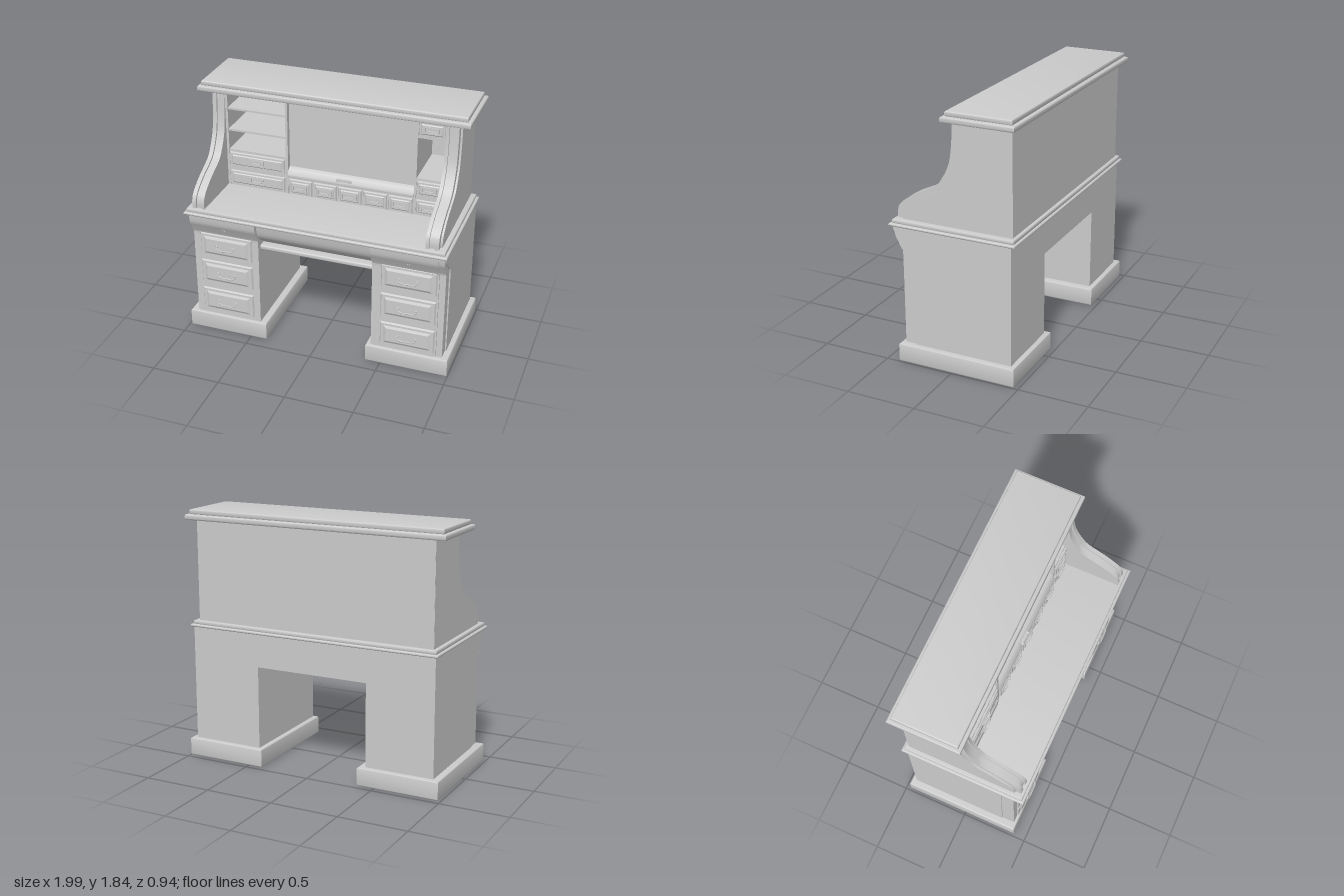
import * as THREE from 'three';
import { toCreasedNormals } from 'three/addons/utils/BufferGeometryUtils.js';

const mat = new THREE.MeshStandardMaterial({ color: 0xcccccc });

export function createModel() {
  const desk = new THREE.Group();
  desk.name = 'rolltopDesk';

  const add = (name, geo, parent = desk) => {
    const m = new THREE.Mesh(geo, mat);
    m.name = name;
    parent.add(m);
    return m;
  };

  // Box given by its limits
  const box = (name, x0, x1, y0, y1, z0, z1, parent) => {
    const m = add(name, new THREE.BoxGeometry(x1 - x0, y1 - y0, z1 - z0), parent);
    m.position.set((x0 + x1) / 2, (y0 + y1) / 2, (z0 + z1) / 2);
    return m;
  };

  // Box whose front face is drawn in by inset, standing on z = 0
  const raised = (w, h, d, inset) => {
    const g = new THREE.BoxGeometry(w, h, d).translate(0, 0, d / 2);
    const p = g.attributes.position;
    for (let i = 0; i < p.count; i++) {
      if (p.getZ(i) < d / 2) continue;
      p.setX(i, p.getX(i) * (1 - (2 * inset) / w));
      p.setY(i, p.getY(i) * (1 - (2 * inset) / h));
    }
    g.computeVertexNormals();
    return g;
  };

  // Side profile [z, y] with a curved front edge, extruded from x0 to x1
  const profile = (name, front, back, x0, x1, steps = 8) => {
    const s = new THREE.Shape();
    s.moveTo(back, front[0][1]);
    s.lineTo(...front[0]);
    s.splineThru(front.slice(1).map(q => new THREE.Vector2(...q)));
    s.lineTo(back, front[front.length - 1][1]);
    s.closePath();
    const g = new THREE.ExtrudeGeometry(s, { depth: x1 - x0, bevelEnabled: false, curveSegments: steps });
    g.rotateY(-Math.PI / 2).translate(x1, 0, 0);
    return add(name, toCreasedNormals(g, 0.6));
  };

  // Slab with softened edges: a horizontal moulding
  const moulding = (name, x0, x1, y0, y1, z0, z1, r = 0.01) => {
    const s = new THREE.Shape();
    s.moveTo(x0 + r, -z1 + r);
    s.lineTo(x1 - r, -z1 + r);
    s.lineTo(x1 - r, -z0 - r);
    s.lineTo(x0 + r, -z0 - r);
    const g = new THREE.ExtrudeGeometry(s, {
      depth: y1 - y0 - 2 * r, bevelThickness: r, bevelSize: r, bevelSegments: 3
    });
    g.rotateX(-Math.PI / 2).translate(0, y0 + r, 0);
    add(name, toCreasedNormals(g, 0.6));
  };

  // Large drawer with a raised panel and a swinging bail handle
  const bigDrawer = (x, y) => {
    const g = new THREE.Group();
    g.name = 'pedestalDrawer';
    g.position.set(x, y, 0.384);
    desk.add(g);
    add('drawerFront', raised(0.4, 0.19, 0.012, 0.008), g);
    add('drawerPanel', raised(0.35, 0.15, 0.012, 0.022), g).position.z = 0.01;
    const plate = new THREE.Shape();
    plate.moveTo(-0.085, 0);
    plate.splineThru([[-0.05, 0.022], [-0.02, 0.014], [0, 0.03], [0.02, 0.014], [0.05, 0.022],
      [0.085, 0], [0.05, -0.018], [0, -0.026], [-0.05, -0.018], [-0.085, 0]].map(q => new THREE.Vector2(...q)));
    const pg = new THREE.ExtrudeGeometry(plate, { depth: 0.003, bevelEnabled: false, curveSegments: 3 });
    add('handlePlate', pg, g).position.z = 0.021;
    const path = new THREE.CatmullRomCurve3([[-0.065, 0.005, 0], [-0.066, -0.008, 0.009], [-0.035, -0.022, 0.013],
      [0, -0.018, 0.014], [0.035, -0.022, 0.013], [0.066, -0.008, 0.009], [0.065, 0.005, 0]]
      .map(q => new THREE.Vector3(...q)));
    add('bailHandle', new THREE.TubeGeometry(path, 24, 0.005, 6), g).position.z = 0.023;
    for (const s of [-1, 1]) add('handleKnob', new THREE.SphereGeometry(0.009, 8, 6), g).position.set(s * 0.065, 0.005, 0.025);
  };

  // Small drawer with a framed pull
  const smallDrawer = (x0, x1, y0, y1) => {
    const g = new THREE.Group(), w = x1 - x0, h = y1 - y0;
    g.name = 'hutchDrawer';
    g.position.set((x0 + x1) / 2, (y0 + y1) / 2, 0.002);
    desk.add(g);
    add('drawerFront', raised(w, h, 0.012, 0.006), g);
    add('drawerPanel', raised(w - 0.035, h - 0.035, 0.008, 0.008), g).position.z = 0.011;
    for (const s of [-1, 1]) {
      box('pullFrame', -0.05, 0.05, s * 0.02 - 0.003, s * 0.02 + 0.003, 0.018, 0.025, g);
      box('pullFrame', s * 0.05 - 0.003, s * 0.05 + 0.003, -0.023, 0.023, 0.018, 0.025, g);
    }
    box('pullBar', -0.032, 0.032, -0.012, -0.004, 0.018, 0.03, g);
  };

  // Plinths
  moulding('plinth', -0.98, -0.375, 0, 0.135, -0.465, 0.405);
  moulding('plinth', 0.39, 0.995, 0, 0.135, -0.465, 0.405);

  // Pedestals: flared front, with an outer side panel set back from it
  const flare = [[0.384, 0.13], [0.384, 0.78], [0.39, 0.82], [0.415, 0.87], [0.44, 0.92], [0.45, 0.985]];
  const panelEdge = [[0.29, 0.13], [0.29, 0.78], [0.3, 0.82], [0.36, 0.88], [0.42, 0.93], [0.445, 0.985]];
  profile('pedestal', flare, -0.43, -0.925, -0.425);
  profile('pedestal', flare, -0.43, 0.425, 0.904);
  profile('cornerPost', flare.map(([z, y]) => [z - 0.01, y]), -0.43, 0.904, 0.948);
  profile('sidePanel', panelEdge, -0.43, 0.94, 0.957);
  profile('sidePanel', panelEdge, -0.43, -0.932, -0.915);

  // Pedestal drawers and keyholes
  for (const [x, lift] of [[-0.673, 0], [0.692, 0.01]]) {
    [0.725, 0.497, 0.258].forEach((y, i) => bigDrawer(x, y + (i ? 0 : lift)));
    const key = add('keyPlate', raised(0.028, 0.036, 0.006, 0.004));
    key.position.set(x, 0.867, 0.409);
    key.rotation.x = 0.46;
  }

  // Apron across the kneehole, with its lower lip
  profile('kneeholeApron', [[0.27, 0.74], [0.29, 0.775], [0.35, 0.82], [0.395, 0.88], [0.42, 0.985]], -0.43, -0.43, 0.43);
  moulding('apronLip', -0.43, 0.43, 0.732, 0.768, 0.25, 0.345);

  // Writing top
  moulding('writingTopEdge', -0.957, 0.968, 0.984, 1.005, -0.46, 0.47, 0.009);
  moulding('writingTop', -0.94, 0.95, 1.0, 1.032, -0.445, 0.452, 0.009);

  // Curved hutch ends: grooved rail inside, panel outside
  const curve = [[0.43, 1.02], [0.43, 1.09], [0.4, 1.145], [0.3, 1.215], [0.15, 1.29], [0.09, 1.36],
    [0.045, 1.45], [0.025, 1.54], [0.015, 1.65], [0.01, 1.765]];
  const setBack = (dz, dy) => curve.map(([z, y], i) => [z - dz, i === 0 || i === 9 ? y : y - dy]);
  const rail = [[0.808, 0.832, 0, 0], [0.828, 0.874, 0.014, 0.008], [0.87, 0.9, 0, 0], [0.895, 0.914, 0.045, 0.012]];
  for (const s of [-1, 1]) {
    for (const [a, b, dz, dy] of rail) {
      profile(dz > 0.03 ? 'hutchSide' : 'curvedRail', setBack(dz, dy), -0.42, s > 0 ? a : -b, s > 0 ? b : -a, 5);
    }
  }
  box('hutchBack', -0.912, 0.912, 1.02, 1.77, -0.422, -0.4);

  // Left pigeonholes and right cabinet
  box('divider', -0.352, -0.335, 1.03, 1.765, -0.4, 0.005);
  box('divider', 0.602, 0.615, 1.03, 1.765, -0.4, 0.005);
  for (const y of [1.17, 1.31, 1.47, 1.636, 1.755]) box('leftShelf', -0.81, -0.345, y - 0.007, y + 0.007, -0.4, 0);
  for (const y of [1.17, 1.31, 1.63]) box('rightShelf', 0.61, 0.815, y - 0.007, y + 0.007, -0.4, 0);
  box('leftLiner', -0.815, -0.79, 1.03, 1.765, -0.4, 0.005);
  box('leftDrawerCase', -0.8, -0.345, 1.03, 1.305, -0.4, 0.002);
  box('rightDrawerCase', 0.61, 0.815, 1.03, 1.305, -0.4, 0.002);
  box('topDrawerCase', 0.61, 0.815, 1.63, 1.765, -0.4, 0.002);
  box('centreDrawerCase', -0.34, 0.605, 1.03, 1.175, -0.4, 0.002);
  for (const [y0, y1] of [[1.04, 1.155], [1.187, 1.3]]) {
    smallDrawer(-0.785, -0.36, y0, y1);
    smallDrawer(0.62, 0.81, y0, y1);
  }
  smallDrawer(0.62, 0.81, 1.642, 1.755);
  for (let i = 0; i < 5; i++) smallDrawer(-0.328 + i * 0.187, -0.153 + i * 0.187, 1.035, 1.155);

  // Centre panel and the lifting rail of the roll front
  box('centrePanel', -0.34, 0.605, 1.17, 1.765, -0.06, -0.03);
  profile('rollRail', [[0.015, 1.17], [0.015, 1.19], [-0.005, 1.225], [-0.03, 1.24]], -0.05, -0.335, 0.602);
  box('rollPull', 0.04, 0.14, 1.2, 1.217, 0, 0.02);
  for (const x of [0.045, 0.135]) {
    const k = add('rollPullEnd', new THREE.CylinderGeometry(0.012, 0.012, 0.014, 10));
    k.rotation.x = Math.PI / 2;
    k.position.set(x, 1.208, 0.017);
  }

  // Top cornice
  moulding('corniceLower', -0.997, 0.985, 1.76, 1.8, -0.466, 0.053);
  moulding('corniceUpper', -0.975, 0.96, 1.797, 1.835, -0.442, 0.03);

  return desk;
}
